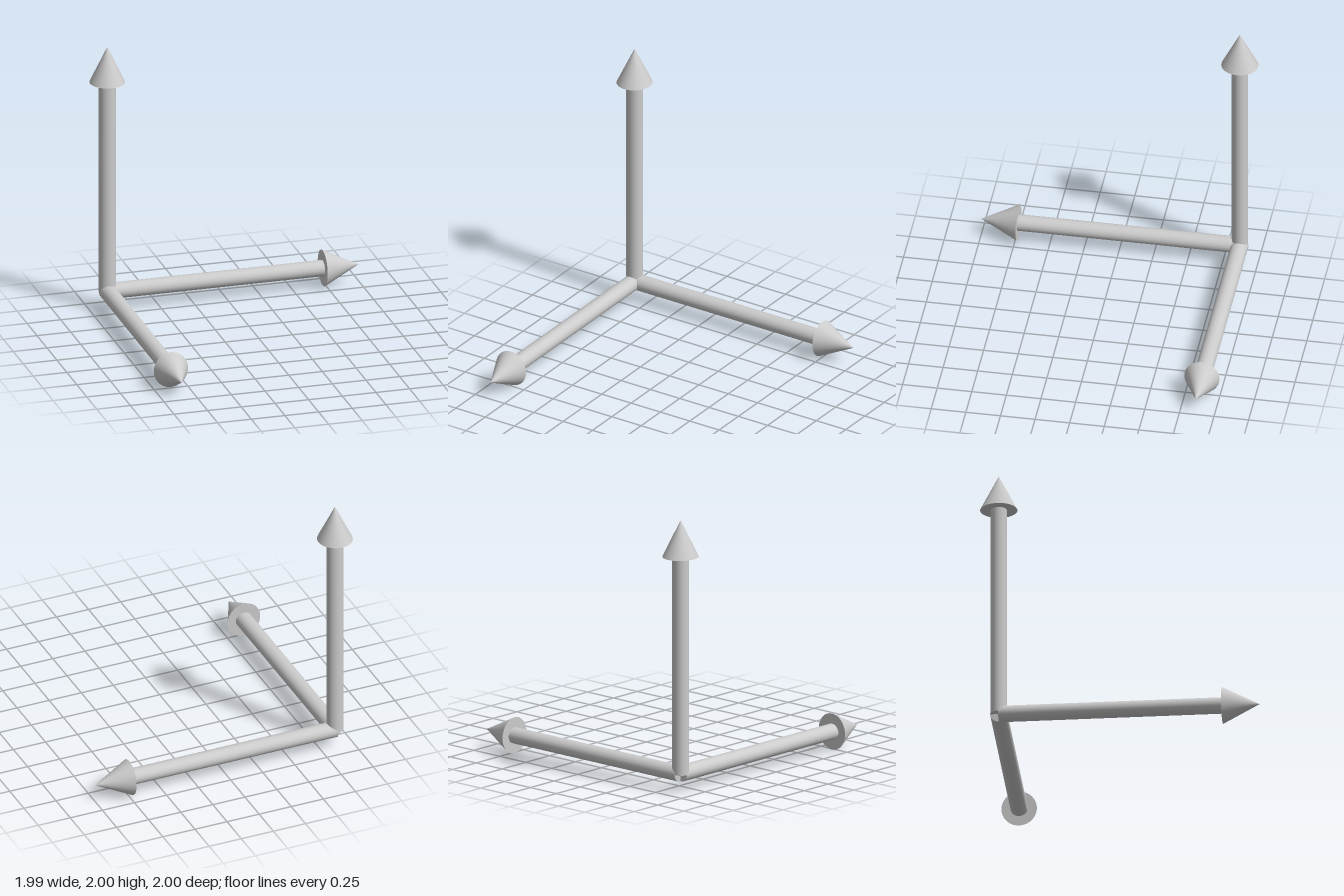
import * as THREE from 'three';

const SHAFT = 1.6, HEAD = 0.267, SIDES = 40;

// An arrow along +y from its own origin; both sections are slightly oval.
function makeArrow(name, material) {
  const arrow = new THREE.Group();
  arrow.name = name;

  const shaft = new THREE.Mesh(
    new THREE.CylinderGeometry(1, 1, SHAFT, SIDES).scale(0.062, 1, 0.058), material);
  shaft.name = 'shaft';
  shaft.position.y = SHAFT / 2;

  const head = new THREE.Mesh(
    new THREE.ConeGeometry(1, HEAD, SIDES).scale(0.127, 1, 0.133), material);
  head.name = 'arrowHead';
  head.position.y = SHAFT + HEAD / 2;

  arrow.add(shaft, head);
  return arrow;
}

export function createModel() {
  const model = new THREE.Group();
  model.name = 'axisArrows';
  const grey = new THREE.MeshStandardMaterial({ color: 0xcccccc });

  // Three arrows meeting at one corner: up, forward and sideways
  const q = Math.PI / 2;
  const arrows = [
    ['upArrow', 0, 0],
    ['forwardArrow', q, 0],
    ['sideArrow', q, q],
  ];
  for (const [name, tilt, turn] of arrows) {
    const arrow = makeArrow(name, grey);
    arrow.rotation.set(tilt, turn, 0, 'YXZ');
    arrow.position.set(-0.87, 0.133, -0.867);
    model.add(arrow);
  }
  return model;
}
